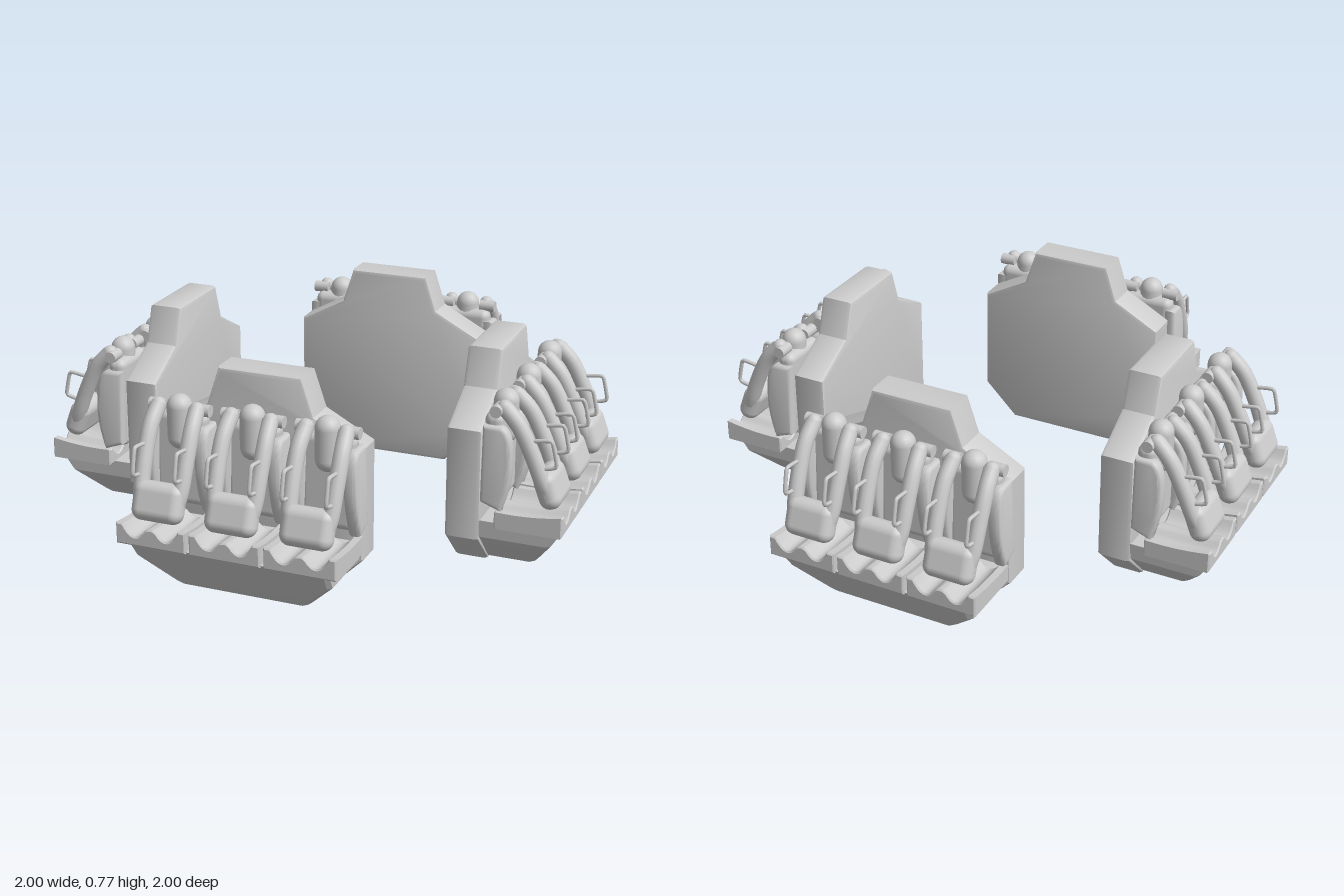
import * as THREE from 'three';
import { RoundedBoxGeometry } from 'three/addons/geometries/RoundedBoxGeometry.js';
import { toCreasedNormals } from 'three/addons/utils/BufferGeometryUtils.js';

const mat = new THREE.MeshStandardMaterial({ color: 0xcccccc });

function add(parent, name, geometry, x = 0, y = 0, z = 0, rx = 0) {
  const mesh = new THREE.Mesh(geometry, mat);
  mesh.name = name;
  mesh.position.set(x, y, z);
  mesh.rotation.x = rx;
  parent.add(mesh);
  return mesh;
}

const v = (x, y, z) => new THREE.Vector3(x, y, z);

// Closed outline mirrored from its right half, listed bottom to top
function mirrored(half) {
  const left = half.filter(p => p[0] > 0).map(([x, y]) => [-x, y]).reverse();
  return new THREE.Shape([...half, ...left].map(p => new THREE.Vector2(...p)));
}

function bevelled(shape, depth, bevel, segments = 2, steps = 1) {
  const g = new THREE.ExtrudeGeometry(shape, {
    depth: depth - 2 * bevel, steps, bevelThickness: bevel, bevelSize: bevel,
    bevelOffset: -bevel, bevelSegments: segments, curveSegments: 8,
  });
  return g.translate(0, 0, bevel);
}

// Tall stepped back panel
function panelGeometry() {
  const shape = mirrored([[0.245, 0], [0.377, 0.13], [0.377, 0.54], [0.2, 0.635], [0.155, 0.77]]);
  return toCreasedNormals(bevelled(shape, 0.13, 0.016), 0.5);
}

// Hull under the seats: horizontal sections that shrink downwards
function hullGeometry() {
  const sections = [[0.012, 0.24, 0.86], [0.03, 0.26, 0.875], [0.14, 0.367, 0.95], [0.205, 0.372, 0.992]];
  const pos = [], idx = [];
  for (const [y, w, z] of sections) {
    const c = 0.015;
    pos.push(-w, y, 0.68, -w, y, z - c, -w + c, y, z, w - c, y, z, w, y, z - c, w, y, 0.68);
  }
  for (let s = 0; s < sections.length - 1; s++) {
    for (let i = 0; i < 6; i++) {
      const a = s * 6 + i, b = s * 6 + (i + 1) % 6;
      idx.push(a, b, b + 6, a, b + 6, a + 6);
    }
  }
  const top = (sections.length - 1) * 6;
  for (let i = 1; i < 5; i++) idx.push(0, i + 1, i, top, top + i, top + i + 1);
  const g = new THREE.BufferGeometry();
  g.setAttribute('position', new THREE.Float32BufferAttribute(pos, 3));
  g.setIndex(idx);
  return toCreasedNormals(g, 0.3);
}

// Seat pan with two leg troughs and a centre ridge, rising to the front
function panGeometry() {
  const s = new THREE.Shape();
  s.moveTo(-0.131, 0.198);
  s.lineTo(0.131, 0.198);
  s.lineTo(0.131, 0.262);
  s.lineTo(0.105, 0.262);
  s.quadraticCurveTo(0.063, 0.198, 0.022, 0.248);
  s.quadraticCurveTo(0, 0.262, -0.022, 0.248);
  s.quadraticCurveTo(-0.063, 0.198, -0.105, 0.262);
  s.lineTo(-0.131, 0.262);
  const g = bevelled(s, 0.245, 0.005, 1, 6);
  const p = g.attributes.position;
  for (let i = 0; i < p.count; i++) {
    const t = p.getZ(i) / 0.245;
    const k = THREE.MathUtils.clamp((p.getY(i) - 0.2) / 0.06, 0, 1);
    p.setY(i, p.getY(i) + k * (0.015 * t - 0.03 * t * (1 - t)));
  }
  return toCreasedNormals(g, 0.6);
}

// Side bolster: side profile (z, y) given thickness along x
function bolsterGeometry() {
  const s = new THREE.Shape();
  s.moveTo(0.7, 0.29);
  s.lineTo(0.775, 0.262);
  s.quadraticCurveTo(0.812, 0.36, 0.808, 0.45);
  s.quadraticCurveTo(0.808, 0.56, 0.765, 0.572);
  s.lineTo(0.7, 0.572);
  const g = bevelled(s, 0.05, 0.015, 3);
  g.translate(0, 0, -0.025).rotateY(-Math.PI / 2);
  return toCreasedNormals(g, 0.7);
}

const shared = {
  pan: panGeometry(),
  bolster: bolsterGeometry(),
  back: new RoundedBoxGeometry(0.2, 0.345, 0.07, 3, 0.03),
  head: new THREE.CapsuleGeometry(0.045, 0.11, 6, 16),
  chest: new RoundedBoxGeometry(0.19, 0.14, 0.08, 5, 0.038),
  pivot: new THREE.CylinderGeometry(0.022, 0.022, 0.06, 14).rotateZ(Math.PI / 2),
  ball: new THREE.SphereGeometry(0.027, 14, 10),
};

function createSeat() {
  const seat = new THREE.Group();
  add(seat, 'seatPan', shared.pan, 0, 0, 0.755);
  add(seat, 'backrest', shared.back, 0, 0.44, 0.733);
  add(seat, 'headrest', shared.head, 0, 0.575, 0.75);
  add(seat, 'chestPad', shared.chest, 0, 0.342, 0.925, -0.36);
  for (const side of [-1, 1]) {
    const sideName = side > 0 ? 'left' : 'right';
    const bolster = add(seat, sideName + 'Bolster', shared.bolster, side * 0.103);
    bolster.rotation.z = side * 0.04;
    bolster.position.x += side * 0.015;

    // Over-shoulder bar curving down to the chest pad
    const path = new THREE.CatmullRomCurve3([
      v(side * 0.073, 0.632, 0.765), v(side * 0.078, 0.575, 0.818),
      v(side * 0.078, 0.47, 0.872), v(side * 0.074, 0.38, 0.908), v(side * 0.06, 0.315, 0.935),
    ]);
    add(seat, sideName + 'ShoulderBar', new THREE.TubeGeometry(path, 18, 0.029, 12));
    add(seat, sideName + 'ShoulderBarEnd', shared.ball, side * 0.073, 0.632, 0.765);
    add(seat, sideName + 'Pivot', shared.pivot, side * 0.085, 0.625, 0.745);

    // Grab handle
    const x = side * 0.079;
    const grip = new THREE.CatmullRomCurve3([
      v(x, 0.525, 0.87), v(x, 0.533, 0.925), v(x, 0.527, 0.941),
      v(x, 0.452, 0.958), v(x, 0.437, 0.95), v(x, 0.425, 0.9),
    ], false, 'catmullrom', 0.3);
    add(seat, sideName + 'Handle', new THREE.TubeGeometry(grip, 20, 0.0075, 8));
  }
  return seat;
}

export function createModel() {
  const model = new THREE.Group();
  model.name = 'rideGondola';
  const panel = panelGeometry(), hull = hullGeometry();

  // Four identical units facing outwards, three seats each
  for (let q = 0; q < 4; q++) {
    const unit = new THREE.Group();
    unit.name = 'seatUnit' + (q + 1);
    unit.rotation.y = q * Math.PI / 2;
    add(unit, 'backPanel', panel, 0, 0, 0.565);
    add(unit, 'hull', hull);
    for (let i = -1; i <= 1; i++) {
      const seat = createSeat();
      seat.name = 'seat' + (i + 2);
      seat.position.x = i * 0.275;
      unit.add(seat);
    }
    model.add(unit);
  }
  return model;
}
